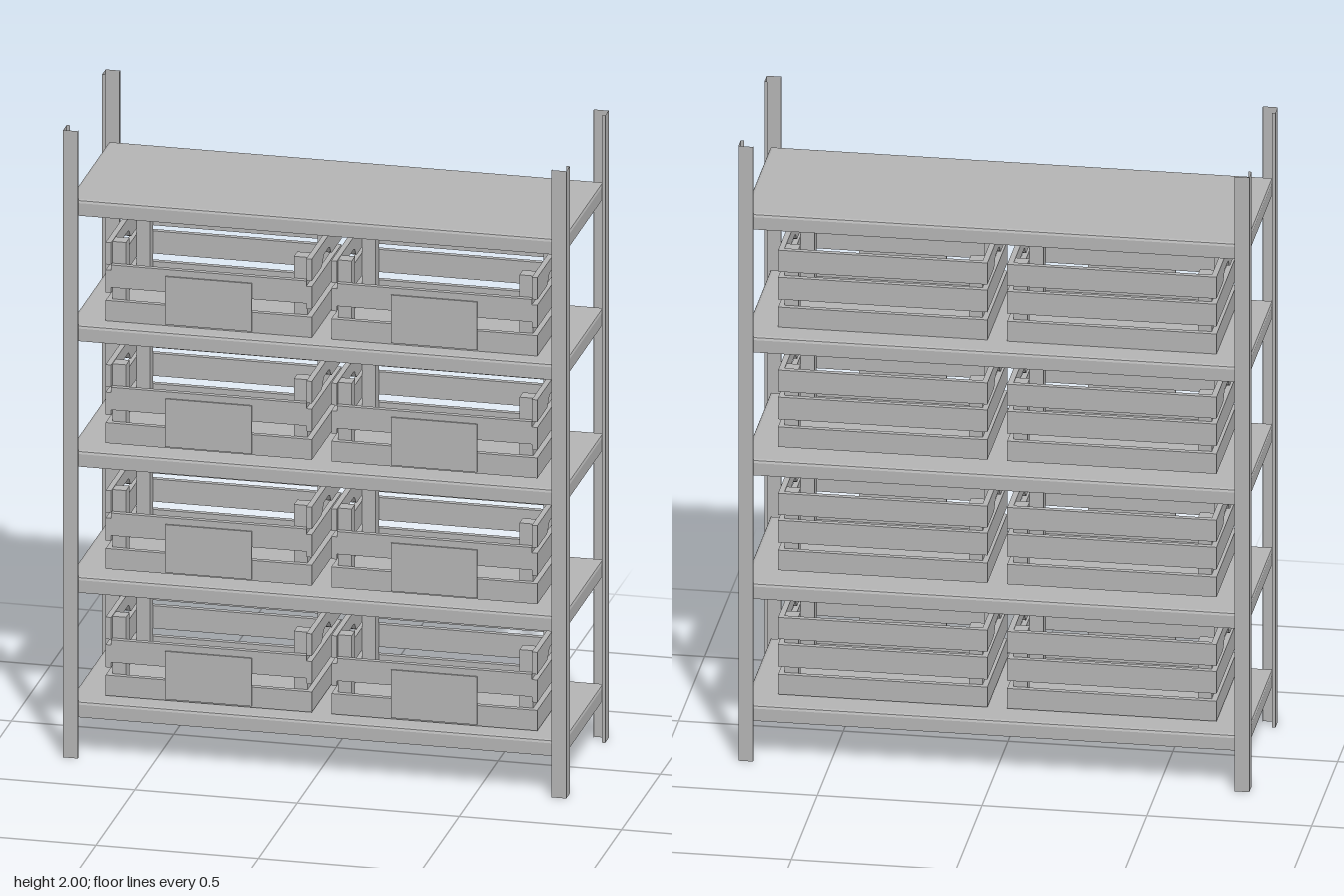
import * as THREE from 'three';

const steel = new THREE.MeshStandardMaterial({ color: 0xb3b3b3, side: THREE.DoubleSide });
steel.name = 'grey';

function mesh(name, geometry, x = 0, y = 0, z = 0) {
  const m = new THREE.Mesh(geometry, steel);
  m.name = name;
  m.position.set(x, y, z);
  return m;
}

// box given by its minimum and maximum corners
function slab(name, x0, x1, y0, y1, z0, z1) {
  return mesh(name, new THREE.BoxGeometry(x1 - x0, y1 - y0, z1 - z0),
    (x0 + x1) / 2, (y0 + y1) / 2, (z0 + z1) / 2);
}

// flat-shaded surface from a list of quads
function quads(list) {
  const p = [];
  for (const [a, b, c, d] of list) p.push(...a, ...b, ...c, ...a, ...c, ...d);
  const g = new THREE.BufferGeometry();
  g.setAttribute('position', new THREE.Float32BufferAttribute(p, 3));
  g.computeVertexNormals();
  return g;
}

// folded sheet-metal shelf: rectangular rings of [inset, height], from top panel to hollow underside
function shelfGeometry() {
  const rings = [[0.01, 0.05], [0.003, 0.047], [0, 0.04], [0, 0], [0.022, 0], [0.022, 0.008],
    [0.006, 0.008], [0.006, 0.043]]
    .map(([i, y]) => {
      const x = 0.763 - i, z = 0.262 - i;
      return [[-x, y, z], [x, y, z], [x, y, -z], [-x, y, -z]];
    });
  const list = [rings[0], [...rings[rings.length - 1]].reverse()];
  for (let r = 0; r < rings.length - 1; r++) {
    for (let k = 0; k < 4; k++) {
      const n = (k + 1) % 4;
      list.push([rings[r + 1][k], rings[r + 1][n], rings[r][n], rings[r][k]]);
    }
  }
  return quads(list);
}

// thin angle post with small inward lips, wrapped round one outer corner
function postGeometry(sx, sz) {
  let path = [[0.045, 0.01], [0.045, 0], [0, 0], [0, 0.045], [0.01, 0.045]]
    .map(([x, z]) => [sx * (0.775 - x), sz * (0.273 - z)]);
  if (sx * sz > 0) path = path.reverse(); // keep the outside facing out
  const list = [];
  for (let i = 0; i < path.length - 1; i++) {
    const [a, b] = [path[i], path[i + 1]];
    list.push([[a[0], 0, a[1]], [b[0], 0, b[1]], [b[0], 2, b[1]], [a[0], 2, a[1]]]);
  }
  return quads(list);
}

const T = 0.017;              // slat thickness
const W = 0.3175;             // half width of a crate
const BACK = -0.177, FRONT = 0.205;

// upper end slat with a hand hold cut into its lower edge
function handleGeometry() {
  const s = new THREE.Shape();
  const c = -(BACK + FRONT) / 2;
  [[-FRONT, 0.18], [c - 0.066, 0.18], [c - 0.055, 0.186], [c - 0.04, 0.205], [c - 0.03, 0.21],
    [c + 0.03, 0.21], [c + 0.04, 0.205], [c + 0.055, 0.186], [c + 0.066, 0.18],
    [-BACK, 0.18], [-BACK, 0.25], [-FRONT, 0.25]]
    .forEach(([x, y], i) => (i ? s.lineTo(x, y) : s.moveTo(x, y)));
  const g = new THREE.ExtrudeGeometry(s, { depth: T, bevelEnabled: false });
  g.rotateY(Math.PI / 2);
  g.translate(-T / 2, 0, 0);
  return g;
}

function crate() {
  const g = new THREE.Group();
  g.name = 'crate';
  const inX = W - T;
  const rows = [[0, 0.065], [0.09, 0.162], [0.18, 0.25]];
  const handle = handleGeometry();
  for (const s of [-1, 1]) {
    const x0 = s > 0 ? inX : -W, x1 = s > 0 ? W : -inX;
    // end slats
    for (const [y0, y1] of rows.slice(0, 2)) g.add(slab('endSlat', x0, x1, y0, y1, BACK, FRONT));
    g.add(mesh('handleSlat', handle, s * (W - T / 2)));
    // corner posts
    const p0 = s > 0 ? inX - 0.042 : -inX, p1 = p0 + 0.042;
    g.add(slab('cratePostFront', p0, p1, 0.005, 0.248, 0.145, FRONT - T));
    g.add(slab('cratePostBack', p0, p1, 0.005, 0.248, BACK + T, BACK + T + 0.042));
  }
  // back slats, and the lower open front
  for (const [y0, y1] of rows) g.add(slab('backSlat', -inX, inX, y0, y1, BACK, BACK + T));
  for (const [y0, y1] of [[0, 0.065], [0.107, 0.179]]) {
    g.add(slab('frontSlat', -inX, inX, y0, y1, FRONT - T, FRONT));
  }
  g.add(slab('frontPlate', -0.133, 0.133, 0.005, 0.158, FRONT, FRONT + 0.005));
  g.add(slab('crateFloor', -inX, inX, 0.004, 0.016, BACK + T, FRONT - T));
  return g;
}

export function createModel() {
  const model = new THREE.Group();
  model.name = 'storageRack';

  // corner uprights
  for (const sx of [-1, 1]) {
    for (const sz of [-1, 1]) model.add(mesh('upright', postGeometry(sx, sz)));
  }

  // shelves
  const shelf = shelfGeometry();
  for (const top of [0.178, 0.575, 0.977, 1.377, 1.777]) model.add(mesh('shelf', shelf, 0, top - 0.05, 0));

  // two crates on each of the four lower shelves
  const prototype = crate();
  for (const y of [0.183, 0.587, 0.988, 1.378]) {
    for (const x of [-0.343, 0.352]) {
      const c = prototype.clone();
      c.position.set(x, y, 0);
      model.add(c);
    }
  }
  return model;
}
